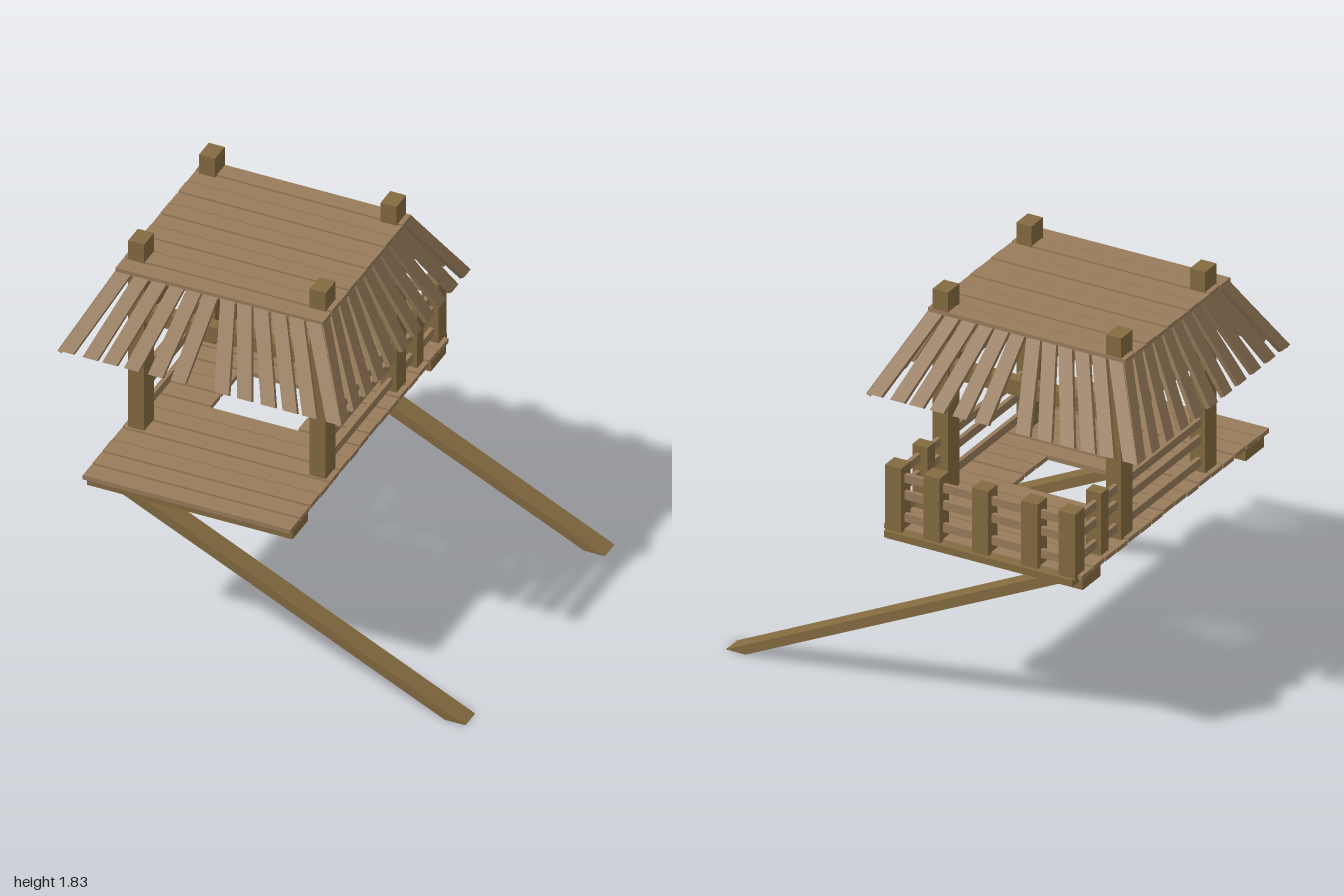
import * as THREE from 'three';

const beamMat = new THREE.MeshStandardMaterial({ color: 0x846b40 });
const plankMat = new THREE.MeshStandardMaterial({ color: 0x997d5c });

export function createModel() {
  const model = new THREE.Group();

  const group = (name) => {
    const g = new THREE.Group();
    g.name = name;
    model.add(g);
    return g;
  };
  // Box given by its extents on each axis
  const box = (parent, name, mat, [x0, x1], [y0, y1], [z0, z1], yaw = 0) => {
    const m = new THREE.Mesh(new THREE.BoxGeometry(x1 - x0, y1 - y0, z1 - z0), mat);
    m.position.set((x0 + x1) / 2, (y0 + y1) / 2, (z0 + z1) / 2);
    m.rotation.y = yaw;
    m.name = name;
    parent.add(m);
  };
  const wobble = (i) => Math.sin(i * 12.9 + 1) * 0.004;

  // Slanted struts, cut level at both ends
  const strutShape = new THREE.Shape([
    new THREE.Vector2(-0.71, 0.77), new THREE.Vector2(0.9, 0),
    new THREE.Vector2(1, 0), new THREE.Vector2(-0.6, 0.77),
  ]);
  for (const z of [0.67, -0.765]) {
    const strut = new THREE.Mesh(
      new THREE.ExtrudeGeometry(strutShape, { depth: 0.1, bevelEnabled: false }), beamMat);
    strut.position.z = z;
    strut.name = 'strut';
    model.add(strut);
  }

  // Beams below the floor
  const base = group('floorFrame');
  box(base, 'frontBeam', beamMat, [-0.81, 0.18], [0.765, 0.82], [0.64, 0.8]);
  box(base, 'backBeam', beamMat, [-0.81, 0.18], [0.765, 0.82], [-0.78, -0.625]);
  box(base, 'backTrim', beamMat, [-0.79, 0.16], [0.8, 0.832], [-0.836, -0.75]);
  for (const x of [-0.79, 0.09]) box(base, 'joist', beamMat, [x, x + 0.075], [0.802, 0.822], [-0.77, 0.8]);

  // Floor planks, with an access hatch in the middle
  const floor = group('floor');
  const pitch = 0.1025;
  for (let i = 0; i < 16; i++) {
    const z1 = 0.838 - i * pitch;
    const spans = i >= 7 && i <= 9 ? [[-0.81, -0.53], [-0.11, 0.185]] : [[-0.813, 0.187]];
    const lift = (i % 3) * 0.002;
    for (const span of spans) {
      box(floor, 'floorPlank', plankMat, span, [0.818 + lift, 0.84 + lift], [z1 - pitch + 0.01, z1],
        spans.length === 1 ? wobble(i) : 0);
    }
  }

  // Roof posts and the beams joining them
  const frame = group('roofFrame');
  const postX = [[-0.79, -0.713], [0.085, 0.162]];
  const postZ = [[-0.41, -0.31], [0.32, 0.42]];
  for (const x of postX) for (const z of postZ) box(frame, 'roofPost', beamMat, x, [0.82, 1.83], z);
  for (const y of [[1.4, 1.473], [1.65, 1.708]]) {
    for (const z of [-0.36, 0.37]) box(frame, 'crossBeam', beamMat, [-0.72, 0.09], y, [z - 0.03, z + 0.03]);
    for (const x of [-0.752, 0.124]) box(frame, 'sideBeam', beamMat, [x - 0.025, x + 0.025], y, [-0.32, 0.33]);
  }

  // Railing round the back and both sides
  const railing = group('railing');
  for (const x of [-0.752, -0.563, -0.315, -0.07, 0.124]) {
    box(railing, 'backRailPost', beamMat, [x - 0.041, x + 0.041], [0.82, 1.148], [-0.82, -0.737]);
  }
  for (const x of postX) box(railing, 'sideRailPost', beamMat, x, [0.835, 1.146], [-0.586, -0.522]);
  [0.895, 1.005, 1.088].forEach((y, i) => {
    const h = [y - 0.02, y + 0.02];
    box(railing, 'backRail', plankMat, [-0.73, 0.1], h, [-0.79, -0.77], wobble(i));
    for (const x of [-0.76, 0.132]) box(railing, 'sideRail', plankMat, [x - 0.01, x + 0.01], h, [-0.75, 0.34]);
  });

  // Flat roof boards
  const roof = group('roof');
  for (let i = 0; i < 10; i++) {
    const z = 0.5 - i * 0.092;
    const lift = (i % 2) * 0.003;
    box(roof, 'roofBoard', plankMat, [-0.813, 0.185], [1.707 + lift, 1.73 + lift], [z - 0.084, z], wobble(i + 3));
  }

  // Skirt plank: outer face runs from a top point to a bottom point; 'along' is its width direction
  const skirt = group('roofSkirt');
  const slat = (top, bottom, along, inward) => {
    const geo = new THREE.BoxGeometry(1, 1, 1);
    const p = geo.attributes.position;
    for (let i = 0; i < p.count; i++) {
      const v = (p.getY(i) > 0 ? top : bottom).clone();
      v.addScaledVector(along, p.getX(i) * 0.07);
      if (p.getZ(i) < 0) v.addScaledVector(inward, 0.022);
      p.setXYZ(i, v.x, v.y, v.z);
    }
    const flat = geo.toNonIndexed();
    flat.computeVertexNormals();
    const m = new THREE.Mesh(flat, plankMat);
    m.name = 'skirtSlat';
    skirt.add(m);
  };
  const V = (x, y, z) => new THREE.Vector3(x, y, z);
  const cx = -0.315, cz = 0.035, yTop = 1.722, yLow = 1.36;

  // Front and back slats fan out from a gap in the middle
  const topOff = [0.04, 0.12, 0.2, 0.285, 0.37, 0.455];
  const lowOff = [0.105, 0.215, 0.33, 0.435, 0.53, 0.645];
  for (const s of [1, -1]) {
    topOff.forEach((t, i) => {
      for (const m of [1, -1]) {
        slat(V(cx + m * t, yTop, cz + s * 0.46), V(cx + m * lowOff[i], yLow, cz + s * 0.665),
          V(s, 0, 0), V(0, -0.5, -s * 0.87));
      }
    });
    // Side slats fan out evenly
    for (let i = -5; i <= 5; i++) {
      slat(V(cx + s * 0.495, yTop, cz + i * 0.084), V(cx + s * 0.685, yLow, cz + i * 0.126),
        V(0, 0, -s), V(-s * 0.87, -0.5, 0));
    }
  }
  return model;
}
